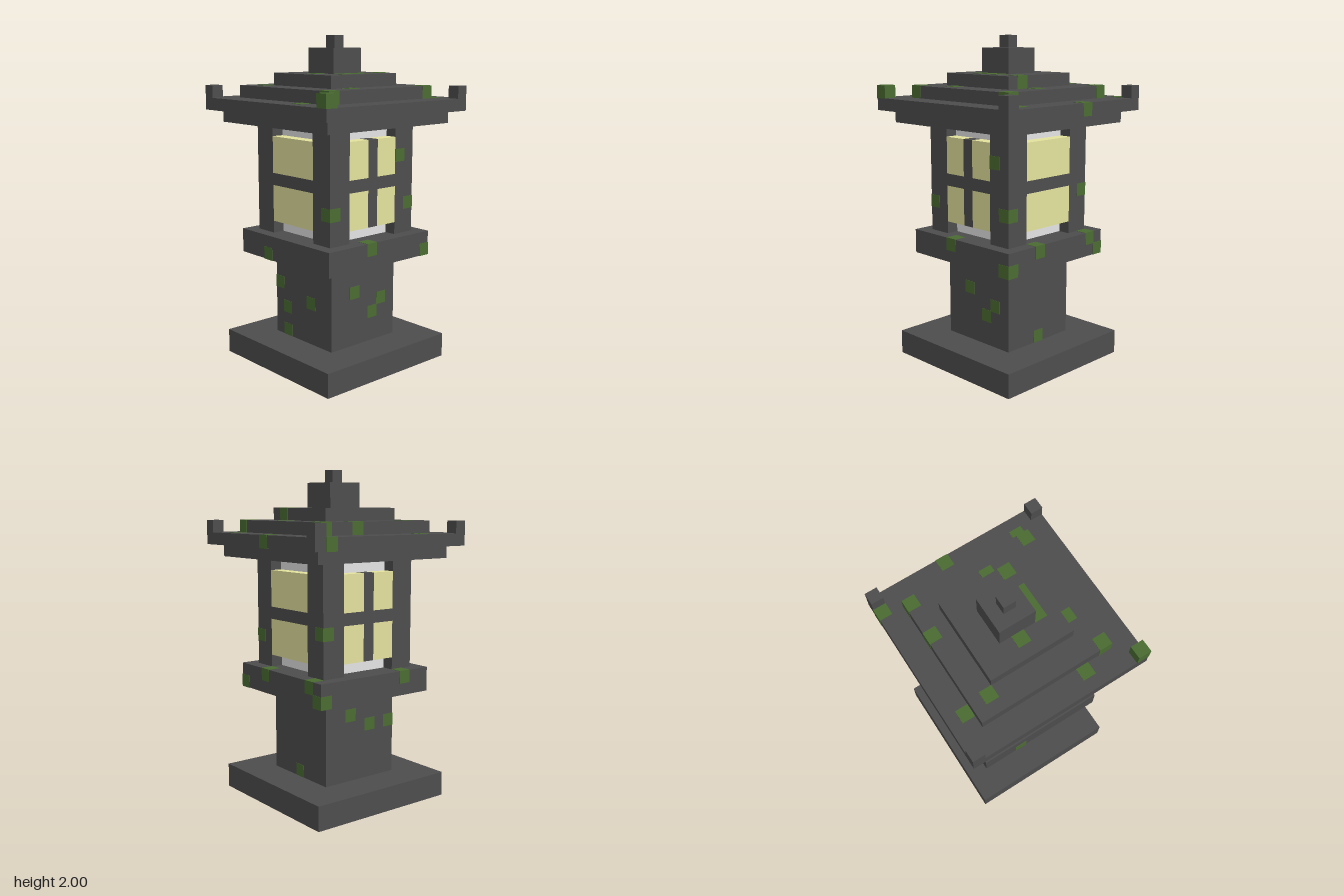
import * as THREE from 'three';

const U = 2 / 27; // one block of the grid

function mat(name, color) {
  const m = new THREE.MeshStandardMaterial({ color });
  m.name = name;
  return m;
}

export function createModel() {
  const group = new THREE.Group();
  group.name = 'stoneLantern';
  const stone = mat('darkStone', 0x4d4d4d);
  const moss = mat('mossGreen', 0x4a6c31);
  const glow = mat('paleYellow', 0xe4e29d);
  const light = mat('lightGrey', 0xe4e4e4);

  // Box in block units: centre x, z, bottom y, sizes
  function box(name, material, x, y, z, w, h, d, parent = group) {
    const mesh = new THREE.Mesh(new THREE.BoxGeometry(w * U, h * U, d * U), material);
    mesh.position.set(x * U, (y + h / 2) * U, z * U);
    mesh.name = name;
    parent.add(mesh);
    return mesh;
  }

  // Square slabs from the ground up: name, bottom, height, width
  const slabs = [
    ['base', 0, 2, 13], ['pillar', 2, 7, 7], ['shelf', 9, 2, 11],
    ['eavesUnderside', 20, 1, 13], ['roofEaves', 21, 1, 15], ['roofMiddle', 22, 1, 11],
    ['roofUpper', 23, 1, 7], ['finialBase', 24, 2, 3], ['finialTip', 26, 1, 1],
  ];
  for (const [name, y, h, w] of slabs) box(name, stone, 0, y, 0, w, h, w);

  // Corner posts and upturned roof corners
  for (const sx of [-1, 1]) for (const sz of [-1, 1]) {
    box('cornerPost', stone, sx * 3.5, 11, sz * 3.5, 2, 9, 2);
    box('roofCorner', stone, sx * 7, 22, sz * 7, 1, 1, 1);
  }

  // Pale lamp core, seen in the gaps above and below the windows
  box('lampCore', light, 0, 11, 0, 7, 9, 7);

  // Four windows: front and back have a cross, the sides one bar
  for (let i = 0; i < 4; i++) {
    const win = new THREE.Group();
    win.name = ['frontWindow', 'leftWindow', 'backWindow', 'rightWindow'][i];
    win.rotation.y = i * Math.PI / 2;
    group.add(win);
    box('crossBar', stone, 0, 15, 4, 5, 1, 1, win);
    for (const y of [12, 16]) {
      if (i % 2) {
        box('pane', glow, 0, y, 4, 5, 3, 1, win);
      } else {
        box('uprightBar', stone, 0, y, 4, 1, 3, 1, win);
        for (const s of [-1, 1]) box('pane', glow, s * 1.5, y, 4, 2, 3, 1, win);
      }
    }
  }

  // Mossy blocks: x, level, z
  const mossy = [
    [6, 21, -7], [-4, 21, -6], [7, 21, -1], [-6, 21, 3], [6, 21, 5],
    [2, 22, -5], [5, 22, -5], [-4, 22, -4], [4, 22, 1], [-2, 22, 4], [-5, 22, 5], [5, 22, 5], [-7, 22, 7],
    [-2, 23, 0], [3, 23, 2], [-1, 23, 2], [0, 23, 2], [1, 23, 2],
    [3, 17, 4], [-4, 13, 4], [4, 13, 4], [4, 14, -4],
    [-1, 10, 5], [5, 9, 5], [5, 10, 2], [5, 10, -4], [5, 9, -5], [-5, 9, -2], [-3, 10, -5],
    [-1, 6, 3], [2, 5, 3], [1, 4, 3], [3, 2, 0],
    [1, 7, -3], [-1, 6, -3], [-3, 6, -3], [-3, 5, 1], [-3, 4, -2], [-3, 2, -2],
  ];
  const s = 1.05; // slightly proud of the stone
  for (const [x, y, z] of mossy) box('mossPatch', moss, x, y + (1 - s) / 2, z, s, s, s);

  return group;
}
